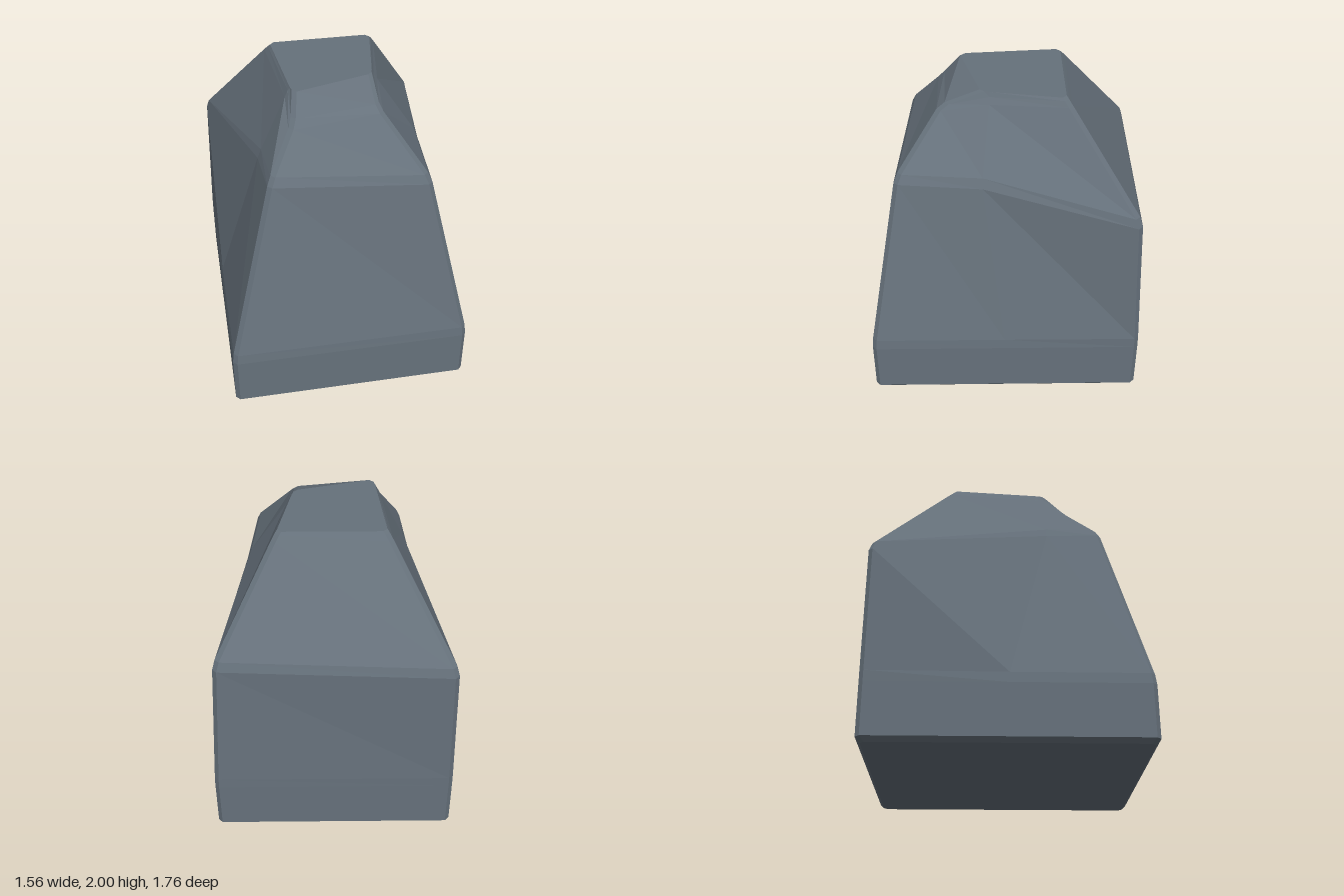
import * as THREE from 'three';

const BEVEL = 0.027;

// Six upright ridges, counterclockwise seen from above. Each lists its points
// at: base, foot edge, shoulder, upper break, top rim.
// corner = [x sign, z sign]; null marks a crease in the middle of a side.
const ridges = [
  { corner: [1, 1], pts: [[0.78, 0, 0.88], [0.78, 0.4, 0.88], [0.52, 1.54, 0.68], [0.25, 1.9, 0.4], [0.25, 2, 0.15]] },
  { corner: null, pts: [[0.78, 0, 0], [0.78, 0.4, 0], [0.56, 1.53, 0.14], [0.275, 1.96, 0.09], [0.258, 2, 0.09]] },
  { corner: [1, -1], pts: [[0.78, 0, -0.88], [0.78, 0.4, -0.88], [0.73, 1.34, -0.84], [0.355, 1.975, -0.395], [0.335, 2, -0.375]] },
  { corner: [-1, -1], pts: [[-0.78, 0, -0.88], [-0.78, 0.4, -0.88], [-0.755, 1.31, -0.88], [-0.345, 1.975, -0.395], [-0.325, 2, -0.375]] },
  { corner: null, pts: [[-0.78, 0, 0], [-0.78, 0.4, 0], [-0.49, 1.57, 0.27], [-0.295, 1.97, 0.22], [-0.277, 2, 0.22]] },
  { corner: [-1, 1], pts: [[-0.78, 0, 0.88], [-0.78, 0.4, 0.88], [-0.47, 1.59, 0.62], [-0.3, 1.85, 0.41], [-0.27, 2, 0.28]] },
];

// Ease every break along a ridge with a short bevel
function softenRidge(list) {
  const p = list.map((a) => new THREE.Vector3(...a));
  const out = [];
  const inset = p[0].clone();
  inset.x -= Math.sign(inset.x) * BEVEL;
  inset.z -= Math.sign(inset.z) * BEVEL;
  out.push(inset, p[0].clone().setY(0.03));
  for (let i = 1; i < p.length - 1; i++) {
    for (const q of [p[i - 1], p[i + 1]]) {
      const d = Math.min(0.035, p[i].distanceTo(q) * 0.3);
      out.push(p[i].clone().lerp(q, d / p[i].distanceTo(q)));
    }
  }
  out.push(p[p.length - 1]);
  return out;
}

// Split each corner ridge into two columns, leaving a chamfer strip between them
function buildColumns() {
  const columns = [];
  for (const { corner, pts } of ridges) {
    const line = softenRidge(pts);
    if (!corner) {
      columns.push(line);
      continue;
    }
    const [sx, sz] = corner;
    const alongX = line.map((v) => v.clone().add(new THREE.Vector3(-sx * BEVEL, 0, 0)));
    const alongZ = line.map((v) => v.clone().add(new THREE.Vector3(0, 0, -sz * BEVEL)));
    columns.push(...(sx * sz > 0 ? [alongX, alongZ] : [alongZ, alongX]));
  }
  return columns;
}

function blockGeometry() {
  const columns = buildColumns();
  const n = columns.length;
  const rings = columns[0].length;
  const pos = [];
  const tri = (...vs) => vs.forEach((v) => pos.push(v.x, v.y, v.z));

  // Walls
  for (let j = 0; j < n; j++) {
    const a = columns[j];
    const b = columns[(j + 1) % n];
    for (let i = 0; i < rings - 1; i++) {
      tri(a[i], b[i], a[i + 1]);
      tri(b[i], b[i + 1], a[i + 1]);
    }
  }

  // Top and bottom caps
  const top = new THREE.Vector3(0, 2, -0.1);
  const bottom = new THREE.Vector3(0, 0, 0);
  for (let j = 0; j < n; j++) {
    const a = columns[j];
    const b = columns[(j + 1) % n];
    tri(top, a[rings - 1], b[rings - 1]);
    tri(bottom, b[0], a[0]);
  }

  const g = new THREE.BufferGeometry();
  g.setAttribute('position', new THREE.Float32BufferAttribute(pos, 3));
  g.computeVertexNormals();
  return g;
}

export function createModel() {
  const group = new THREE.Group();
  group.name = 'stoneBlock';
  const stone = new THREE.Mesh(
    blockGeometry(),
    new THREE.MeshStandardMaterial({ color: 0x66717b, flatShading: true }),
  );
  stone.name = 'stone';
  group.add(stone);
  return group;
}
